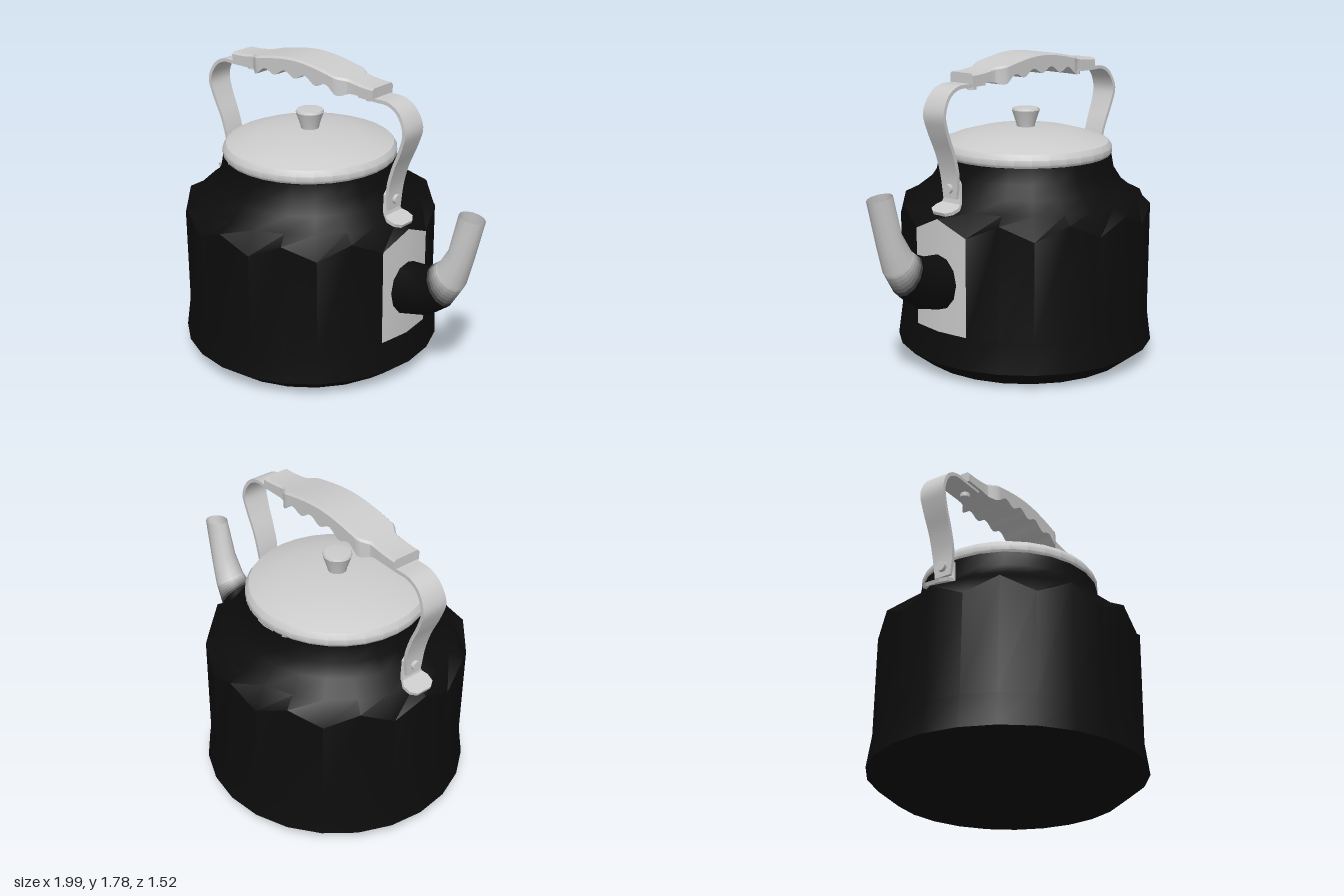
import * as THREE from 'three';
import { toCreasedNormals } from 'three/addons/utils/BufferGeometryUtils.js';

const CENTRE = -0.24; // axis of the pot along x
const SIDES = 24;
const TAU = Math.PI * 2;
const V = (x, y, z) => new THREE.Vector3(x, y, z);

const paint = (color) => new THREE.MeshStandardMaterial({ color, side: THREE.DoubleSide });
const grey = paint(0xcccccc);
const black = paint(0x0c0c0c);

// Skin over a row of rings; each ring runs counter-clockwise about the travel direction.
// keep(i, j) chooses which quads are shown, while normals come from the whole skin.
function loft(rings, { caps = false, keep = () => true } = {}) {
  const n = rings[0].length;
  const last = (rings.length - 1) * n;
  const all = [], shown = [];
  for (let i = 0; i < rings.length - 1; i++) {
    for (let j = 0; j < n; j++) {
      const k = (j + 1) % n;
      const a = i * n + j, b = i * n + k, c = b + n, d = a + n;
      all.push(a, b, c, a, c, d);
      if (keep(i, j)) shown.push(a, b, c, a, c, d);
    }
  }
  if (caps) {
    for (let j = 1; j < n - 1; j++) shown.push(0, j + 1, j, last, last + j, last + j + 1);
  }
  const geo = new THREE.BufferGeometry().setFromPoints(rings.flat());
  geo.setIndex(all);
  geo.computeVertexNormals();
  geo.setIndex(shown);
  return geo;
}

function add(parent, name, geometry, material = grey) {
  const mesh = new THREE.Mesh(geometry, material);
  mesh.name = name;
  parent.add(mesh);
  return mesh;
}

const lathe = (points, sides) =>
  toCreasedNormals(new THREE.LatheGeometry(points.map(([r, y]) => new THREE.Vector2(r, y)), sides), 0.6);

// Flat metal strip following [x, y, halfWidth] points
function strip(points, thickness) {
  const h = thickness / 2;
  const rings = points.map(([x, y, w], i) => {
    const p = points[Math.max(i - 1, 0)], q = points[Math.min(i + 1, points.length - 1)];
    const t = new THREE.Vector2(q[0] - p[0], q[1] - p[1]).normalize();
    const ux = -t.y * h, uy = t.x * h;
    return [V(x + ux, y + uy, -w), V(x + ux, y + uy, w), V(x - ux, y - uy, w), V(x - ux, y - uy, -w)];
  });
  return toCreasedNormals(loft(rings, { caps: true }), 0.6);
}

function addBody(pot) {
  const profile = [
    [0.001, 0], [0.63, 0], [0.76, 0.1], [0.735, 0.28], [0.735, 0.93],
    [0.655, 0.97], [0.565, 1.04], [0.52, 1.11], [0.503, 1.2],
  ];
  const rings = profile.map(([r, y], i) =>
    Array.from({ length: SIDES }, (_, j) => {
      const a = (j / SIDES) * TAU;
      const dip = i === 4 && j % 2 ? 0.085 : 0; // scalloped shoulder line
      return V(r * Math.cos(a), y - dip, -r * Math.sin(a));
    }));
  // The two wall panels behind the spout are bare metal
  const isPatch = (i, j) => i === 3 && (j === 0 || j === SIDES - 1);
  add(pot, 'body', toCreasedNormals(loft(rings, { keep: (i, j) => !isPatch(i, j) }), 0.6), black);
  add(pot, 'spoutPanel', toCreasedNormals(loft(rings, { keep: isPatch }), 0.6));
}

function addLid(pot) {
  add(pot, 'lid', lathe([
    [0, 1.2], [0.495, 1.2], [0.505, 1.215], [0.505, 1.245], [0.485, 1.275],
    [0.42, 1.3], [0.29, 1.335], [0.15, 1.35], [0, 1.355],
  ], 32));
  add(pot, 'lidKnob', lathe([
    [0.05, 1.34], [0.055, 1.37], [0.082, 1.45], [0.076, 1.462], [0, 1.468],
  ], 16));
}

function addSpout(group) {
  // upper x, y, lower x, y, half width
  const base = [
    [0.4, 0.73, 0.4, 0.41, 0.125], [0.495, 0.73, 0.495, 0.41, 0.125],
    [0.6, 0.74, 0.66, 0.455, 0.115], [0.66, 0.765, 0.79, 0.555, 0.102],
  ];
  const tip = [
    [0.72, 0.81, 0.875, 0.69, 0.087],
    [0.785, 0.915, 0.92, 0.845, 0.074], [0.835, 1.13, 0.99, 1.107, 0.06],
  ];
  // Short bands fade the dark root into the bare tip
  const BANDS = 6;
  const fade = [];
  for (let k = 1; k < BANDS; k++) {
    fade.push(base[3].map((v, i) => THREE.MathUtils.lerp(v, tip[0][i], k / BANDS)));
  }
  const rings = [...base, ...fade, ...tip].map(([tx, ty, bx, by, w]) =>
    Array.from({ length: 12 }, (_, j) => {
      const a = (j / 12) * TAU, c = Math.cos(a) / 2;
      return V((tx + bx) / 2 + (tx - bx) * c, (ty + by) / 2 + (ty - by) * c, w * Math.sin(a));
    }));
  const spout = new THREE.Group();
  spout.name = 'spout';
  group.add(spout);
  add(spout, 'spoutRoot', loft(rings, { keep: (i) => i < 3 }), black);
  for (let k = 0; k < BANDS; k++) {
    const shade = black.color.clone().lerp(grey.color, (k + 0.5) / BANDS);
    add(spout, 'spoutFade', loft(rings, { keep: (i) => i === 3 + k }), paint(shade));
  }
  add(spout, 'spoutTip', loft(rings, { keep: (i) => i >= 3 + BANDS }));
}

function addGrip(pot) {
  // Arched top, finger waves underneath, wider in the middle
  const rings = [];
  const STEPS = 54;
  for (let i = 0; i <= STEPS; i++) {
    const x = -0.535 + (1.07 * i) / STEPS;
    const d = Math.abs(x);
    const top = 1.715 + 0.07 * (0.5 + 0.5 * Math.cos((Math.PI * d) / 0.535));
    const wave = 0.5 - 0.5 * Math.cos((TAU * x) / 0.155);
    const bottom = d < 0.39 ? 1.672 - 0.04 * (d / 0.33) ** 2 + 0.035 * wave : 1.655;
    const w = THREE.MathUtils.mapLinear(THREE.MathUtils.clamp(d, 0.305, 0.36), 0.305, 0.36, 0.125, 0.085);
    rings.push([
      V(x, top - 0.012, -w), V(x, top, -w + 0.012), V(x, top, w - 0.012),
      V(x, top - 0.012, w), V(x, bottom, w), V(x, bottom, -w),
    ]);
  }
  add(pot, 'grip', toCreasedNormals(loft(rings, { caps: true }), 0.5));
}

// One side of the handle: curved strap, bracket, rivet and grip screw
function handleSide() {
  const side = new THREE.Group();
  side.name = 'handleSide';
  const curve = new THREE.CatmullRomCurve3([
    V(0.42, 1.65, 0.07), V(0.54, 1.648, 0.07), V(0.63, 1.645, 0.07), V(0.7, 1.605, 0.072),
    V(0.745, 1.51, 0.078), V(0.72, 1.41, 0.073), V(0.665, 1.28, 0.068),
    V(0.632, 1.16, 0.065), V(0.625, 1.03, 0.05),
  ]);
  add(side, 'strap', strip(curve.getPoints(32).map((p) => [p.x, p.y, p.z]), 0.02));
  add(side, 'bracket', strip([
    [0.606, 1.14, 0.035], [0.606, 1.115, 0.055], [0.608, 1.03, 0.06],
    [0.618, 0.995, 0.07], [0.65, 0.98, 0.085], [0.695, 0.966, 0.08], [0.72, 0.956, 0.045],
  ], 0.02));
  const rivet = add(side, 'rivet', new THREE.CylinderGeometry(0.028, 0.028, 0.07, 12));
  rivet.rotation.z = Math.PI / 2;
  rivet.position.set(0.622, 1.085, 0);
  const screw = add(side, 'gripScrew', new THREE.CylinderGeometry(0.028, 0.028, 0.03, 12));
  screw.position.set(0.455, 1.63, 0);
  return side;
}

export function createModel() {
  const group = new THREE.Group();
  group.name = 'kettle';
  const pot = new THREE.Group();
  pot.name = 'pot';
  pot.position.x = CENTRE;
  group.add(pot);

  addBody(pot);
  addLid(pot);
  addGrip(pot);
  for (const turn of [0, Math.PI]) {
    const side = handleSide();
    side.rotation.y = turn;
    pot.add(side);
  }
  addSpout(group);
  return group;
}
